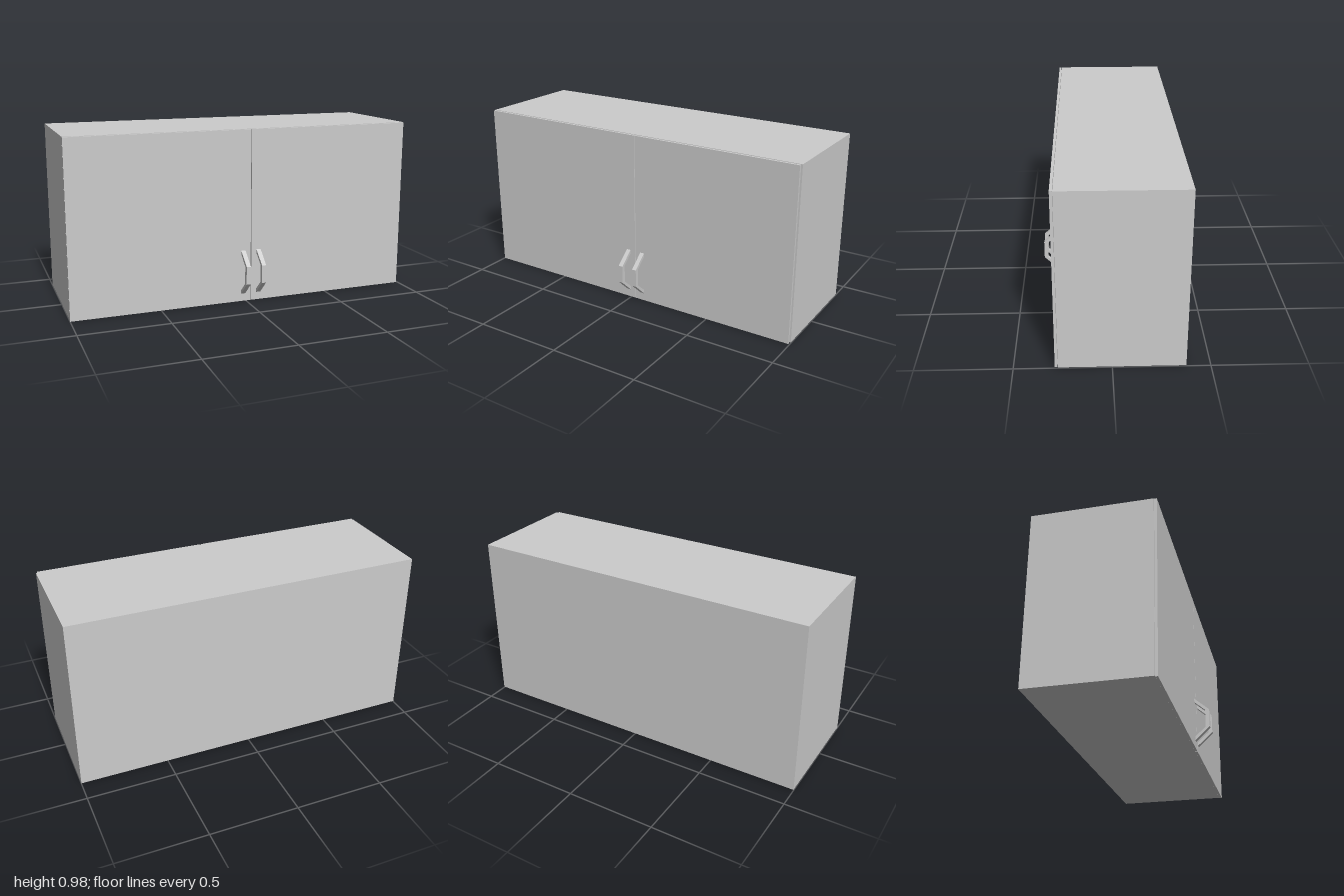
import * as THREE from 'three';

const material = new THREE.MeshStandardMaterial({ color: 0xcccccc, flatShading: true });

// Box given by its min and max corners
function box(name, [x0, y0, z0], [x1, y1, z1]) {
  const mesh = new THREE.Mesh(new THREE.BoxGeometry(x1 - x0, y1 - y0, z1 - z0), material);
  mesh.position.set((x0 + x1) / 2, (y0 + y1) / 2, (z0 + z1) / 2);
  mesh.name = name;
  return mesh;
}

// Bent bar handle: side profile in (z, y), extruded across its width
function handle(name, centreX) {
  const width = 0.025;
  const profile = [
    [0.288, 0.3], [0.375, 0.224], [0.375, 0.122], [0.288, 0.041],
    [0.288, 0.064], [0.352, 0.121], [0.352, 0.222], [0.288, 0.278],
  ];
  const shape = new THREE.Shape(profile.map(([z, y]) => new THREE.Vector2(z, y)));
  const geometry = new THREE.ExtrudeGeometry(shape, { depth: width, bevelEnabled: false });
  geometry.translate(0, 0, -width / 2);
  geometry.rotateY(-Math.PI / 2);
  const mesh = new THREE.Mesh(geometry, material);
  mesh.position.x = centreX;
  mesh.name = name;
  return mesh;
}

export function createModel() {
  const group = new THREE.Group();
  group.name = 'wallCabinet';

  // Carcass
  group.add(box('cabinetBody', [-1, 0.004, -0.375], [1, 0.983, 0.275]));

  // Two doors, sitting slightly low and off to one side, with a fine gap
  group.add(box('rightDoor', [-1, 0, 0.277], [0.028, 0.981, 0.291]));
  group.add(box('leftDoor', [0.032, 0, 0.277], [0.992, 0.981, 0.291]));

  // Handles beside the gap
  group.add(handle('rightHandle', -0.016));
  group.add(handle('leftHandle', 0.076));

  return group;
}
